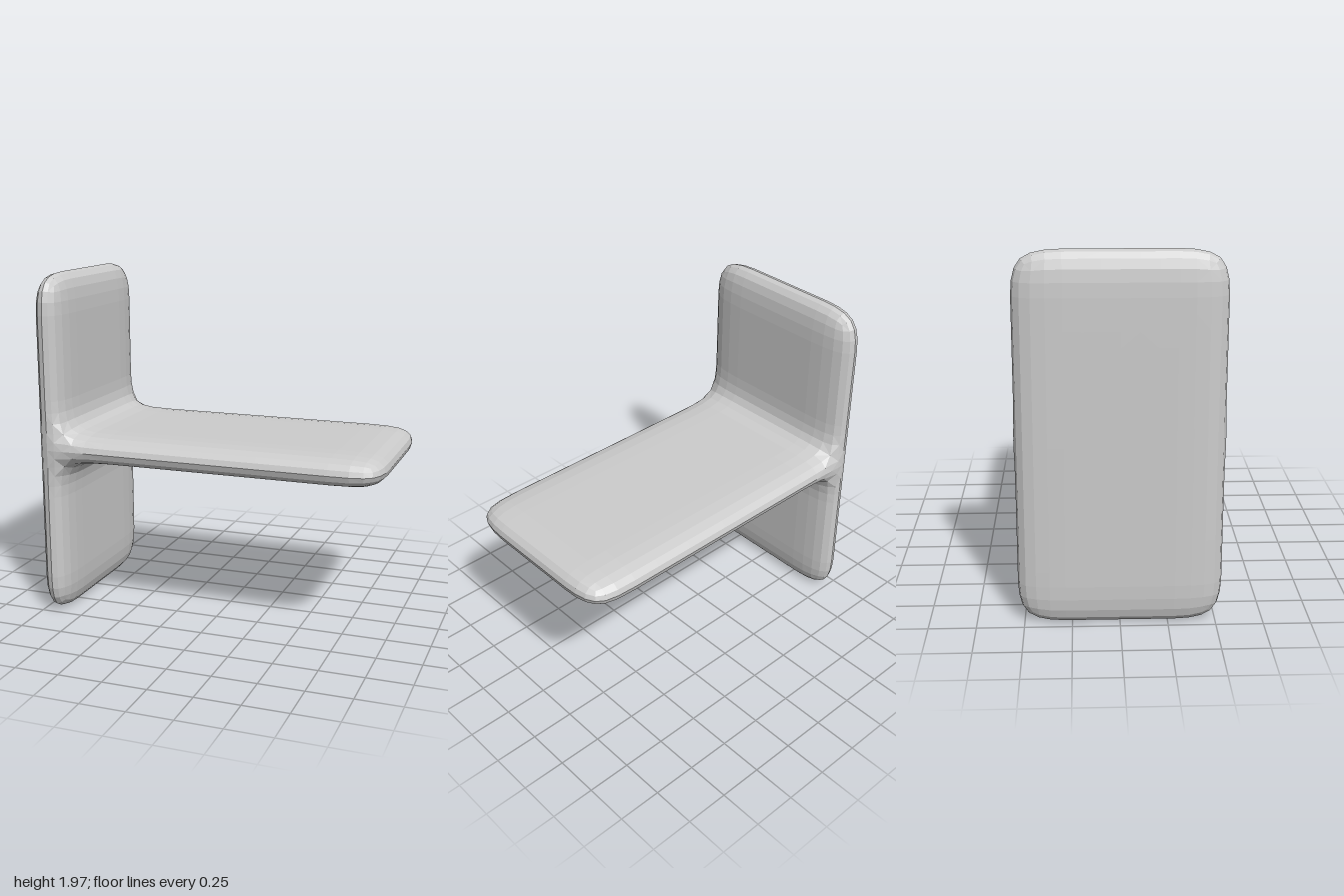
import * as THREE from 'three';

// Grid lines of the coarse cage: a thin upright plate with a thin shelf on its +x side
const LINES = [
  [-1, -0.83, -0.58, 0.7, 1.006],
  [-0.01, 0.3, 0.65, 0.9, 1.07, 1.32, 1.67, 1.98],
  [-0.543, -0.2, 0.2, 0.543],
];
const SHELF_ROW = 3;

function isSolid([i, j, k]) {
  const inside = [i, j, k].every((n, a) => n >= 0 && n < LINES[a].length - 1);
  return inside && (i === 0 || j === SHELF_ROW);
}

// Collect the outer quads of all solid cells
function buildCage() {
  const points = [], faces = [], ids = new Map();
  const vertex = (g) => {
    const key = g.join();
    if (!ids.has(key)) {
      ids.set(key, points.length);
      points.push(new THREE.Vector3(...g.map((n, a) => LINES[a][n])));
    }
    return ids.get(key);
  };
  for (let i = 0; i < LINES[0].length - 1; i++)
    for (let j = 0; j < LINES[1].length - 1; j++)
      for (let k = 0; k < LINES[2].length - 1; k++) {
        const cell = [i, j, k];
        if (!isSolid(cell)) continue;
        for (let a = 0; a < 3; a++)
          for (const side of [0, 1]) {
            const next = [...cell];
            next[a] += side ? 1 : -1;
            if (isSolid(next)) continue;
            const quad = [[0, 0], [1, 0], [1, 1], [0, 1]].map(([u, v]) => {
              const g = [...cell];
              g[a] += side;
              g[(a + 1) % 3] += u;
              g[(a + 2) % 3] += v;
              return vertex(g);
            });
            faces.push(side ? quad : quad.reverse());
          }
      }
  return { points, faces };
}

const average = (list) =>
  list.reduce((sum, p) => sum.add(p), new THREE.Vector3()).divideScalar(list.length);

// One Catmull-Clark step on a closed quad mesh
function subdivide({ points, faces }) {
  const edges = new Map();
  const around = points.map(() => ({ faces: [], mids: [] }));
  const centres = faces.map((f) => average(f.map((v) => points[v])));
  const edgeKey = (a, b) => (a < b ? `${a},${b}` : `${b},${a}`);
  faces.forEach((f, n) => f.forEach((a, c) => {
    const b = f[(c + 1) % 4], key = edgeKey(a, b);
    around[a].faces.push(centres[n]);
    if (!edges.has(key)) edges.set(key, { a, b, centres: [] });
    edges.get(key).centres.push(centres[n]);
  }));
  for (const { a, b } of edges.values()) {
    const mid = average([points[a], points[b]]);
    around[a].mids.push(mid);
    around[b].mids.push(mid);
  }
  const out = points.map((p, v) => {
    const n = around[v].mids.length;
    return average(around[v].faces)
      .addScaledVector(average(around[v].mids), 2)
      .addScaledVector(p, n - 3)
      .divideScalar(n);
  });
  const centreBase = out.length;
  out.push(...centres);
  for (const e of edges.values()) {
    e.id = out.length;
    out.push(average([points[e.a], points[e.b], ...e.centres]));
  }
  const quads = [];
  faces.forEach((f, n) => f.forEach((v, c) => quads.push([
    v,
    edges.get(edgeKey(v, f[(c + 1) % 4])).id,
    centreBase + n,
    edges.get(edgeKey(f[(c + 3) % 4], v)).id,
  ])));
  return { points: out, faces: quads };
}

export function createModel() {
  let mesh = buildCage();
  for (let level = 0; level < 2; level++) mesh = subdivide(mesh);

  const geometry = new THREE.BufferGeometry().setFromPoints(mesh.points);
  geometry.setIndex(mesh.faces.flatMap(([a, b, c, d]) => [a, b, c, a, c, d]));
  geometry.computeVertexNormals();

  const grey = new THREE.MeshStandardMaterial({ color: 0xcccccc, flatShading: true });
  grey.name = 'light grey';

  // Upright plate and shelf, blended into one rounded body
  const body = new THREE.Mesh(geometry, grey);
  body.name = 'plateWithShelf';

  const group = new THREE.Group();
  group.name = 'roundedBracket';
  group.add(body);
  return group;
}
